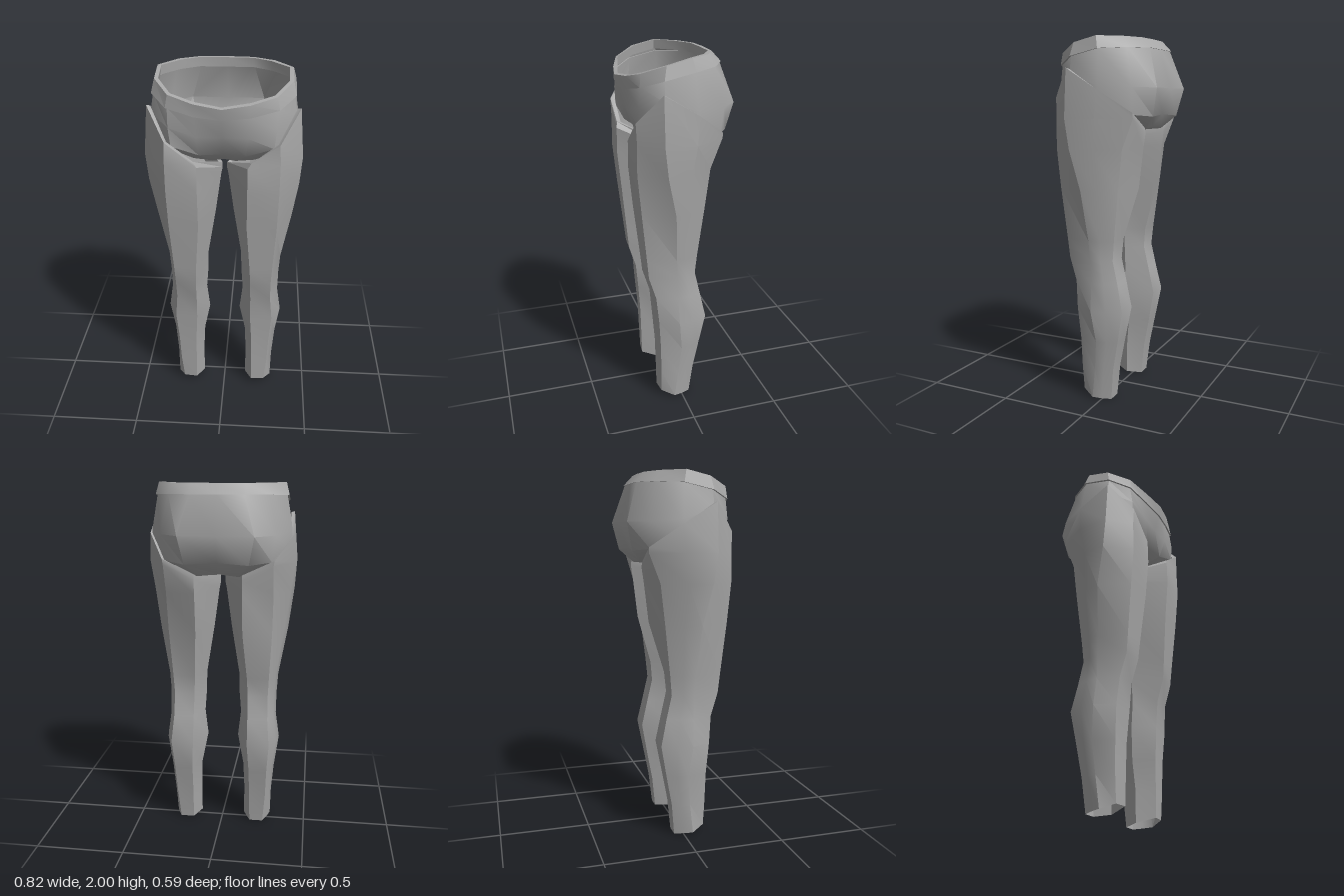
import * as THREE from 'three';
import { toCreasedNormals } from 'three/addons/utils/BufferGeometryUtils.js';

const cloth = new THREE.MeshStandardMaterial({ color: 0xa8a8a8, side: THREE.DoubleSide });
cloth.name = 'grey cloth';

// Skin closed rings of points, listed top to bottom, each running front -> +x -> back
function loft(name, rings, crease) {
  const n = rings[0].length, index = [];
  for (let k = 0; k < rings.length - 1; k++) {
    for (let j = 0; j < n; j++) {
      const a = k * n + j, b = k * n + (j + 1) % n, d = a + n, c = b + n;
      index.push(a, d, c, a, c, b);
    }
  }
  const geo = new THREE.BufferGeometry();
  geo.setAttribute('position', new THREE.Float32BufferAttribute(rings.flat(2), 3));
  geo.setIndex(index);
  const mesh = new THREE.Mesh(toCreasedNormals(geo, crease), cloth);
  mesh.name = name;
  return mesh;
}

const flip = ([x, y, z]) => [-x, y, z];
// Complete a half ring (front centre to back centre) by mirroring
const whole = (half) => [...half, ...half.slice(1, -1).reverse().map(flip)];

// Waistband half rings
const bandInner = [[0, 1.885, .275], [.14, 1.9, .245], [.255, 1.93, .215], [.325, 1.97, .11],
  [.325, 2, -.01], [.235, 2, -.11], [.14, 2, -.165], [0, 2, -.168]];
const bandTop = [[0, 1.88, .295], [.14, 1.895, .268], [.268, 1.925, .225], [.345, 1.97, .115],
  [.345, 2, -.015], [.25, 2, -.13], [.14, 2, -.183], [0, 2, -.19]];
const bandBottom = [[0, 1.82, .283], [.14, 1.83, .267], [.28, 1.86, .232], [.362, 1.9, .13],
  [.362, 1.935, -.03], [.275, 1.942, -.16], [.145, 1.945, -.235], [0, 1.945, -.235]];

// Pelvis half rings below the band
const hips = [[0, 1.72, .25], [.13, 1.72, .255], [.27, 1.76, .238], [.37, 1.8, .13],
  [.383, 1.75, -.04], [.305, 1.74, -.2], [.2, 1.74, -.293], [0, 1.74, -.288]];
const seat = [[0, 1.61, .2], [.12, 1.61, .22], [.26, 1.66, .235], [.375, 1.7, .13],
  [.38, 1.64, -.04], [.285, 1.6, -.19], [.17, 1.59, -.26], [0, 1.6, -.245]];
const under = [[0, 1.54, .1], [.06, 1.53, .1], [.16, 1.54, .1], [.25, 1.55, .05],
  [.25, 1.53, -.04], [.2, 1.53, -.13], [.11, 1.52, -.19], [0, 1.53, -.18]];

// Leg levels: y, outer x, inner x, front z, back z, front outer x, front inner x, ridge z, outer bulge
const levels = [
  [1.58, .41, .012, .262, -.2, .295, .13, .14, .05],
  [1.42, .4, .02, .264, -.188, .295, .13, .12, .035],
  [1.2, .372, .05, .243, -.162, .29, .13, .07, .02],
  [.92, .322, .095, .214, -.08, .275, .15, .05, .01],
  [.81, .315, .097, .203, -.07, .27, .155, .045, .01],
  [.68, .313, .107, .163, -.1, .272, .157, .04, .01],
  [.53, .335, .09, .15, -.133, .285, .158, .035, .01],
  [.35, .31, .125, .137, -.1, .272, .168, .015, .005],
  [.18, .295, .132, .133, -.068, .265, .17, .03, .005],
  [0, .29, .13, .13, -.05, .25, .172, .05, .005],
];
// Slanted top opening of the leg
const rim = [[.15, 1.59, .255], [.29, 1.69, .258], [.388, 1.84, .14], [.395, 1.73, -.04],
  [.3, 1.61, -.2], [.13, 1.53, -.195], [.012, 1.49, .03]];

function legRings() {
  // Narrow lip turned into the opening
  const lip = rim.map(([x, y, z]) => [x + (.2 - x) * .1, y - .005, z + (.03 - z) * .1]);
  const body = levels.map(([y, xo, xi, zf, zb, fo, fi, zr, bulge]) => {
    const thigh = y > 1 && y < 1.5;
    const zbo = zb + (thigh ? .05 : 0);
    const ring = [[fi, zf], [fo, zf - .008], [xo, zr], [(xo + fo) / 2 + bulge, (zr + zbo) / 2],
      [fo, zbo], [fi, zb], [xi, Math.min(zr, .03)]];
    // Stay below the rim, and lift the hem at the front
    return ring.map(([x, z], i) => [x,
      y === 0 ? [.035, .035, .01, .005, 0, 0, .01][i] : Math.min(y, rim[i][1] - .03), z]);
  });
  return [lip, rim, ...body];
}

export function createModel() {
  const group = new THREE.Group();
  group.name = 'trousers';

  // Waistband with inner facing, top edge, outer face and tucked lower edge
  const facing = bandInner.map(([x, y, z]) => [x * 1.02, y - .05, z * 1.01]);
  const tuck = bandBottom.map(([x, y, z]) => [x * .97, y, z * .97]);
  group.add(loft('waistband', [facing, bandInner, bandTop, bandBottom, tuck].map(whole), .6));

  // Pelvis shell closed at the crotch
  const crotch = under.map(() => [0, 1.505, -.02]);
  group.add(loft('pelvis', [tuck, hips, seat, under, crotch].map(whole), .7));

  // Mirrored legs
  const rings = legRings();
  group.add(loft('leftLeg', rings, .6));
  group.add(loft('rightLeg', rings.map((r) => r.map(flip).reverse()), .6));
  return group;
}
